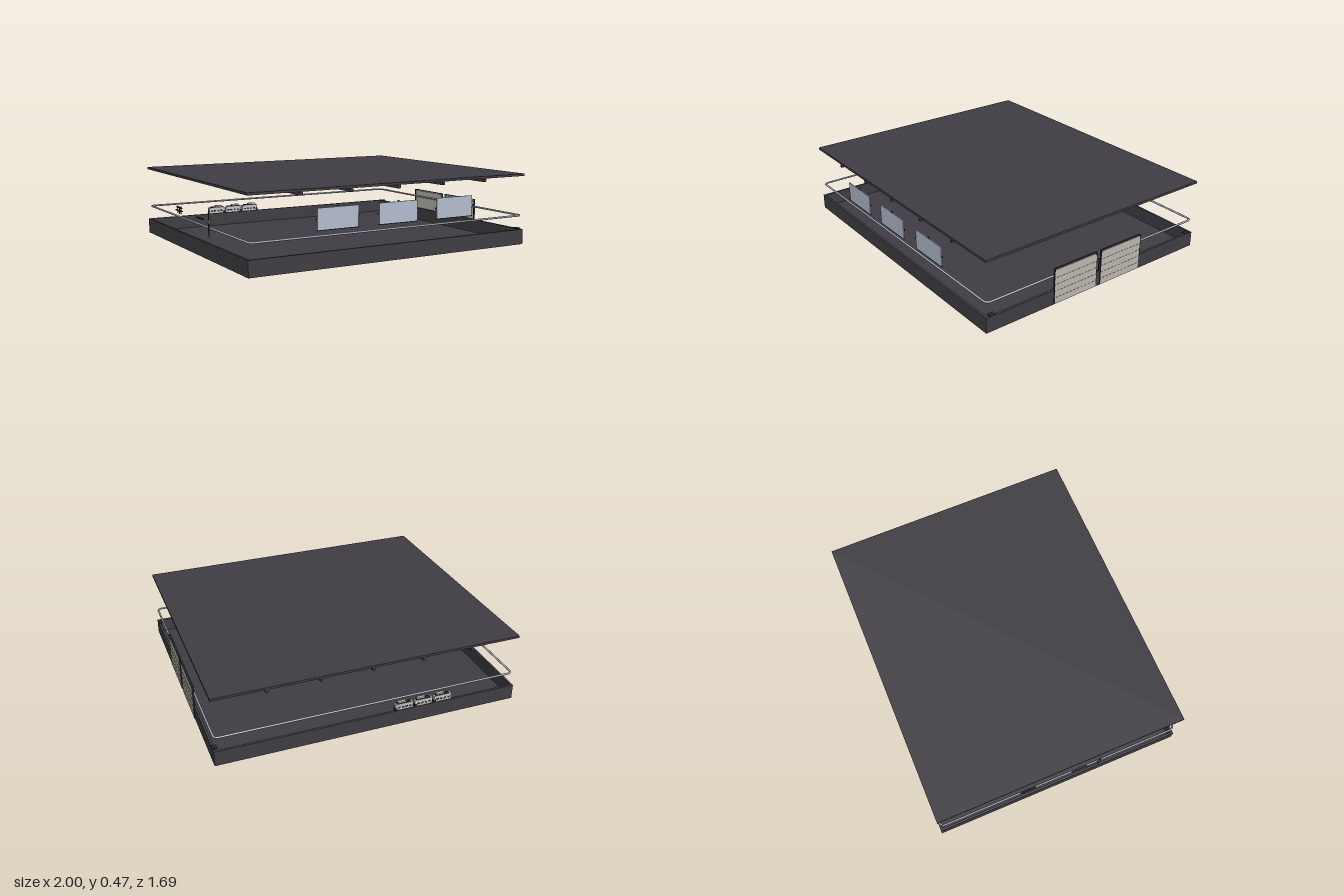
import * as THREE from 'three';

const mat = (name, color, side = THREE.FrontSide) => {
  const m = new THREE.MeshStandardMaterial({ color, side });
  m.name = name;
  return m;
};

export function createModel() {
  const charcoal = mat('charcoal', 0x403e44);
  const dark = mat('dark metal', 0x29292d);
  const steel = mat('pale steel', 0xaeb5c2);
  const glass = mat('window blue grey', 0xb6bfd0);
  const shutter = mat('shutter grey', 0xbfbbb3);
  const seam = mat('seam grey', 0x85827c);
  const unitGrey = mat('unit grey', 0xc4c4c2);

  const model = new THREE.Group();
  model.name = 'building';
  const group = (name, parent = model) => {
    const g = new THREE.Group();
    g.name = name;
    parent.add(g);
    return g;
  };
  // Box given by its lower and upper corners
  const box = (parent, name, m, x0, x1, y0, y1, z0, z1) => {
    const mesh = new THREE.Mesh(new THREE.BoxGeometry(x1 - x0, y1 - y0, z1 - z0), m);
    mesh.position.set((x0 + x1) / 2, (y0 + y1) / 2, (z0 + z1) / 2);
    mesh.name = name;
    parent.add(mesh);
    return mesh;
  };

  // Open tray: floor and low walls
  const X = 0.995, Z = 0.845, T = 0.015;
  const base = group('base');
  box(base, 'floor', charcoal, -1, X, 0, 0.01, -Z, Z);
  box(base, 'frontWall', charcoal, -1, X, 0.01, 0.1, Z - T, Z);
  box(base, 'backWall', charcoal, -1, X, 0.01, 0.1, -Z, -Z + T);
  box(base, 'leftWall', charcoal, X - T, X, 0.01, 0.1, -Z + T, Z - T);
  box(base, 'rightWall', charcoal, -1, -1 + T, 0.01, 0.1, -Z + T, Z - T);
  for (const z of [0.8, -0.8]) box(base, 'cornerCap', dark, 0.965, 0.996, 0.1, 0.106, z - 0.018, z + 0.018);

  // Roof slab, beams and hanging lights
  const roof = group('roof');
  box(roof, 'roofSlab', charcoal, -1, X, 0.455, 0.47, -Z, Z);
  for (const x of [-0.667, -0.335, -0.003, 0.329, 0.661])
    box(roof, 'roofBeam', charcoal, x - 0.008, x + 0.008, 0.433, 0.455, -Z, Z);
  for (const x of [-0.49, 0, 0.48])
    for (const z of [-0.36, -0.12, 0.12, 0.36])
      box(roof, 'lightStrip', dark, x - 0.18, x + 0.18, 0.428, 0.433, z - 0.015, z + 0.015);

  // Pipe loop with rounded corners
  const px = 0.985, pz = 0.835, r = 0.03;
  const path = new THREE.CurvePath();
  const v = (x, z) => new THREE.Vector3(x, 0.192, z);
  const corners = [[1, 1], [-1, 1], [-1, -1], [1, -1]];
  corners.forEach(([sx, sz], i) => {
    const alongX = i % 2 === 0;
    const a = alongX ? v(sx * px, sz * (pz - r)) : v(sx * (px - r), sz * pz);
    const b = alongX ? v(sx * (px - r), sz * pz) : v(sx * px, sz * (pz - r));
    const [nx, nz] = corners[(i + 1) % 4];
    const c = alongX ? v(nx * (px - r), nz * pz) : v(nx * px, nz * (pz - r));
    path.add(new THREE.QuadraticBezierCurve3(a, v(sx * px, sz * pz), b));
    path.add(new THREE.LineCurve3(b, c));
  });
  const pipe = new THREE.Mesh(new THREE.TubeGeometry(path, 500, 0.0065, 8, true), steel);
  pipe.name = 'pipeLoop';
  model.add(pipe);

  // Front windows with dark sills and side clips
  for (const x of [-0.429, -0.007, 0.417]) {
    const w = group('window');
    box(w, 'windowPane', glass, x - 0.138, x + 0.138, 0.228, 0.355, Z - 0.007, Z);
    box(w, 'windowSill', dark, x - 0.141, x + 0.141, 0.223, 0.228, Z - 0.008, Z);
    for (const s of [-1, 1]) box(w, 'windowClip', dark, x + s * 0.142 - 0.005, x + s * 0.142 + 0.005, 0.286, 0.296, Z - 0.008, Z);
    box(w, 'topClip', dark, x - 0.005, x + 0.005, 0.355, 0.362, Z - 0.008, Z);
  }

  // Pair of ribbed shutters on the left side
  for (const z of [0.185, -0.183]) {
    const s = group('shutterDoor');
    box(s, 'shutterPanel', shutter, 0.994, 0.999, 0.004, 0.225, z - 0.164, z + 0.164);
    for (let i = 1; i < 5; i++)
      box(s, 'shutterSeam', seam, 0.999, 1, 0.045 * i, 0.045 * i + 0.002, z - 0.164, z + 0.164);
    box(s, 'shutterHeader', shutter, 0.988, 0.999, 0.225, 0.235, z - 0.16, z + 0.16);
    box(s, 'topRail', dark, 0.985, 0.999, 0.239, 0.243, z - 0.164, z + 0.164);
    for (const d of [-0.165, 0.165])
      box(s, 'shutterPost', dark, 0.988, 0.999, 0.004, 0.243, z + d - 0.003, z + d + 0.003);
  }
  box(model, 'middlePost', dark, 0.994, 0.998, 0.1, 0.2, -0.002, 0.002);

  // Fittings on the right wall: mast with control box, shelf and bracket
  const fittings = group('wallFittings');
  box(fittings, 'mast', dark, -0.999, -0.993, 0.14, 0.305, 0.276, 0.281);
  box(fittings, 'controlBox', seam, -1, -0.99, 0.222, 0.245, 0.263, 0.293);
  box(fittings, 'shelf', dark, -1, -0.99, 0.232, 0.239, 0.08, 0.19);
  box(fittings, 'bracketShelf', dark, -1, -0.99, 0.232, 0.239, -0.285, -0.175);
  box(fittings, 'bracketBar', dark, -1, -0.99, 0.252, 0.26, -0.268, -0.185);
  for (const z of [-0.255, -0.225, -0.195])
    box(fittings, 'bracketLeg', dark, -0.998, -0.993, 0.215, 0.266, z - 0.002, z + 0.002);

  // Row of three small units on the back wall
  for (const x of [-0.487, -0.354, -0.221]) {
    const u = group('backUnit');
    box(u, 'unitBody', unitGrey, x - 0.06, x + 0.06, 0.104, 0.145, -0.842, -0.817);
    box(u, 'unitTop', unitGrey, x - 0.01, x + 0.042, 0.151, 0.16, -0.838, -0.821);
    box(u, 'unitLid', dark, x - 0.045, x + 0.05, 0.145, 0.151, -0.84, -0.819);
    box(u, 'unitBase', dark, x - 0.063, x + 0.063, 0.1, 0.104, -0.844, -0.815);
    box(u, 'unitSwitch', dark, x + 0.048, x + 0.063, 0.104, 0.12, -0.844, -0.815);
    for (let i = 0; i < 4; i++) {
      const sx = x - 0.048 + i * 0.025;
      box(u, 'unitSlot', dark, sx, sx + 0.015, 0.116, 0.126, -0.844, -0.815);
    }
  }
  return model;
}
